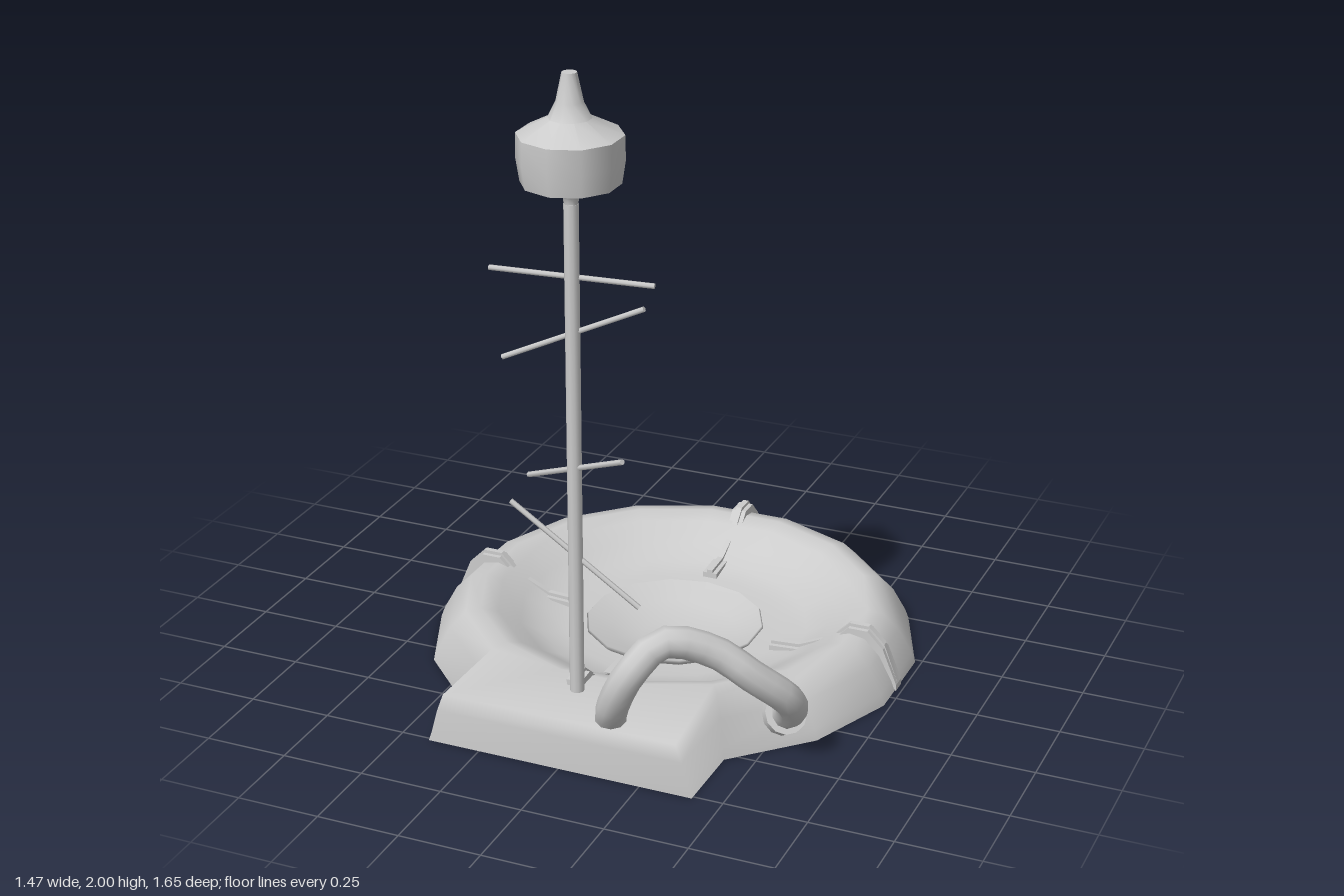
import * as THREE from 'three';
import { toCreasedNormals } from 'three/addons/utils/BufferGeometryUtils.js';

const CZ = -0.09, R = 0.745, SIDES = 16;
const V = (x, y, z) => new THREE.Vector3(x, y, z);

export function createModel() {
  const group = new THREE.Group();
  const grey = new THREE.MeshStandardMaterial({ color: 0xcccccc });
  const greyOpen = new THREE.MeshStandardMaterial({ color: 0xcccccc, side: THREE.DoubleSide });
  const add = (name, geo, mat = grey) => {
    const m = new THREE.Mesh(geo, mat);
    m.name = name;
    group.add(m);
    return m;
  };

  // Base ring: [radius factor, height] rows; the two front corners of the
  // outer rows are pulled forward into a square platform
  const rows = [[1, 0], [0.985, 0.03], [0.93, 0.105], [0.865, 0.153], [0.8, 0.162],
    [0.73, 0.145], [0.64, 0.1], [0.55, 0.065], [0.45, 0.052], [0.34, 0.048]];
  const front = [[0.41, 0], [0.40, 0.03], [0.38, 0.105], [0.36, 0.16]];
  const pos = [], idx = [];
  rows.forEach(([s, y], r) => {
    for (let k = 0; k < SIDES; k++) {
      const a = (k + 0.5) * Math.PI * 2 / SIDES;
      if (r < front.length && (k === 0 || k === SIDES - 1)) {
        pos.push(k === 0 ? front[r][0] : -front[r][0], front[r][1], 0.76);
      } else {
        pos.push(Math.sin(a) * R * s, y, CZ + Math.cos(a) * R * s);
      }
      if (r > 0) {
        const n = (k + 1) % SIDES, a0 = (r - 1) * SIDES, b0 = r * SIDES;
        idx.push(a0 + k, a0 + n, b0 + n, a0 + k, b0 + n, b0 + k);
      }
    }
  });
  const base = new THREE.BufferGeometry();
  base.setAttribute('position', new THREE.Float32BufferAttribute(pos, 3));
  base.setIndex(idx);
  base.computeVertexNormals();
  add('baseRing', base);

  // Flat underside, following the outermost row
  const outline = [];
  for (let k = 0; k < SIDES; k++) outline.push(new THREE.Vector2(pos[k * 3], pos[k * 3 + 2]));
  add('underside', new THREE.ShapeGeometry(new THREE.Shape(outline)).rotateX(Math.PI / 2));

  // Shallow basin in the middle
  const basinProfile = [[0, 0.012], [0.1, 0.017], [0.19, 0.035], [0.27, 0.068], [0.275, 0.062], [0.255, 0.045]]
    .map(p => new THREE.Vector2(...p));
  add('basin', new THREE.LatheGeometry(basinProfile, 14), greyOpen).position.set(0, 0, CZ);

  // Straps over the ring, each a band with a raised middle rib
  const strapTop = [[0.33, 0.075], [0.42, 0.08], [0.52, 0.125], [0.58, 0.185], [0.64, 0.185], [0.69, 0.135], [0.735, 0.02], [0.735, 0]];
  const strapUnder = [[0.68, 0.06], [0.6, 0.12], [0.5, 0.06], [0.33, 0.04]];
  const shortTop = [[0.3, 0.075], [0.42, 0.08], [0.52, 0.125], [0.6, 0.19], [0.66, 0.185], [0.66, 0.12]];
  const band = (top, width, lift) => {
    const under = strapUnder.filter(p => p[0] < top[top.length - 1][0]);
    const pts = [...top.map(([x, y]) => [x, y > 0.03 ? y + lift : y]), ...under];
    const shape = new THREE.Shape(pts.map(p => new THREE.Vector2(...p)));
    return new THREE.ExtrudeGeometry(shape, { depth: width, bevelEnabled: false }).translate(0, 0, -width / 2);
  };
  const straps = [
    ['leftStrap', strapTop, 0, 0, -0.065],
    ['backStrap', strapTop, Math.PI / 2, -0.018, CZ],
    ['rightStrap', strapTop, Math.PI, 0, -0.08],
    ['frontStrap', shortTop, -Math.PI / 2, -0.035, CZ],
  ];
  for (const [name, top, turn, x, z] of straps) {
    const strap = new THREE.Group();
    strap.name = name;
    for (const [w, lift] of [[0.046, -0.006], [0.018, 0.004]]) {
      const m = new THREE.Mesh(band(top, w, lift), grey);
      m.name = w > 0.03 ? 'strapBand' : 'strapRib';
      strap.add(m);
    }
    strap.rotation.y = turn;
    strap.position.set(x, 0, z);
    group.add(strap);
  }

  // Rod between two points
  const rod = (name, a, b, r, sides) => {
    const m = add(name, new THREE.CylinderGeometry(r, r, a.distanceTo(b), sides));
    m.position.copy(a).lerp(b, 0.5);
    m.quaternion.setFromUnitVectors(V(0, 1, 0), b.clone().sub(a).normalize());
    return m;
  };

  // Pole with a lantern-shaped head
  rod('pole', V(-0.018, 0.1, 0.585), V(-0.018, 1.635, 0.585), 0.021, 10);
  const headProfile = [[0, 1.63], [0.02, 1.635], [0.022, 1.65], [0.035, 1.67], [0.08, 1.682], [0.138, 1.695],
    [0.148, 1.76], [0.147, 1.83], [0.06, 1.875], [0.038, 1.92], [0.021, 2], [0, 2]]
    .map(p => new THREE.Vector2(...p));
  add('poleHead', toCreasedNormals(new THREE.LatheGeometry(headProfile, 10), 0.75)).position.set(-0.018, 0, 0.585);

  // Thin crossing sticks
  [
    [V(-0.255, 1.427, 0.61), V(0.21, 1.42, 0.55)],
    [V(-0.23, 1.16, 0.59), V(0.19, 1.36, 0.575)],
    [V(-0.21, 0.76, 0.48), V(0.17, 0.95, 0.68)],
    [V(-0.215, 0.725, 0.59), V(0.17, 0.455, 0.57)],
  ].forEach(([a, b]) => rod('crossStick', a, b, 0.008, 6));

  // Arched hose from the platform to the side of the ring
  const path = new THREE.CatmullRomCurve3([
    V(0.12, 0.12, 0.66), V(0.17, 0.24, 0.755), V(0.23, 0.36, 0.775), V(0.3, 0.44, 0.71), V(0.42, 0.4, 0.63),
    V(0.52, 0.32, 0.585), V(0.595, 0.22, 0.5), V(0.57, 0.13, 0.41), V(0.52, 0.08, 0.35),
  ]);
  add('hose', new THREE.TubeGeometry(path, 20, 0.046, 10, false), greyOpen);
  rod('hoseCollar', V(0.513, 0.075, 0.345), V(0.545, 0.105, 0.38), 0.064, 12);

  return group;
}
